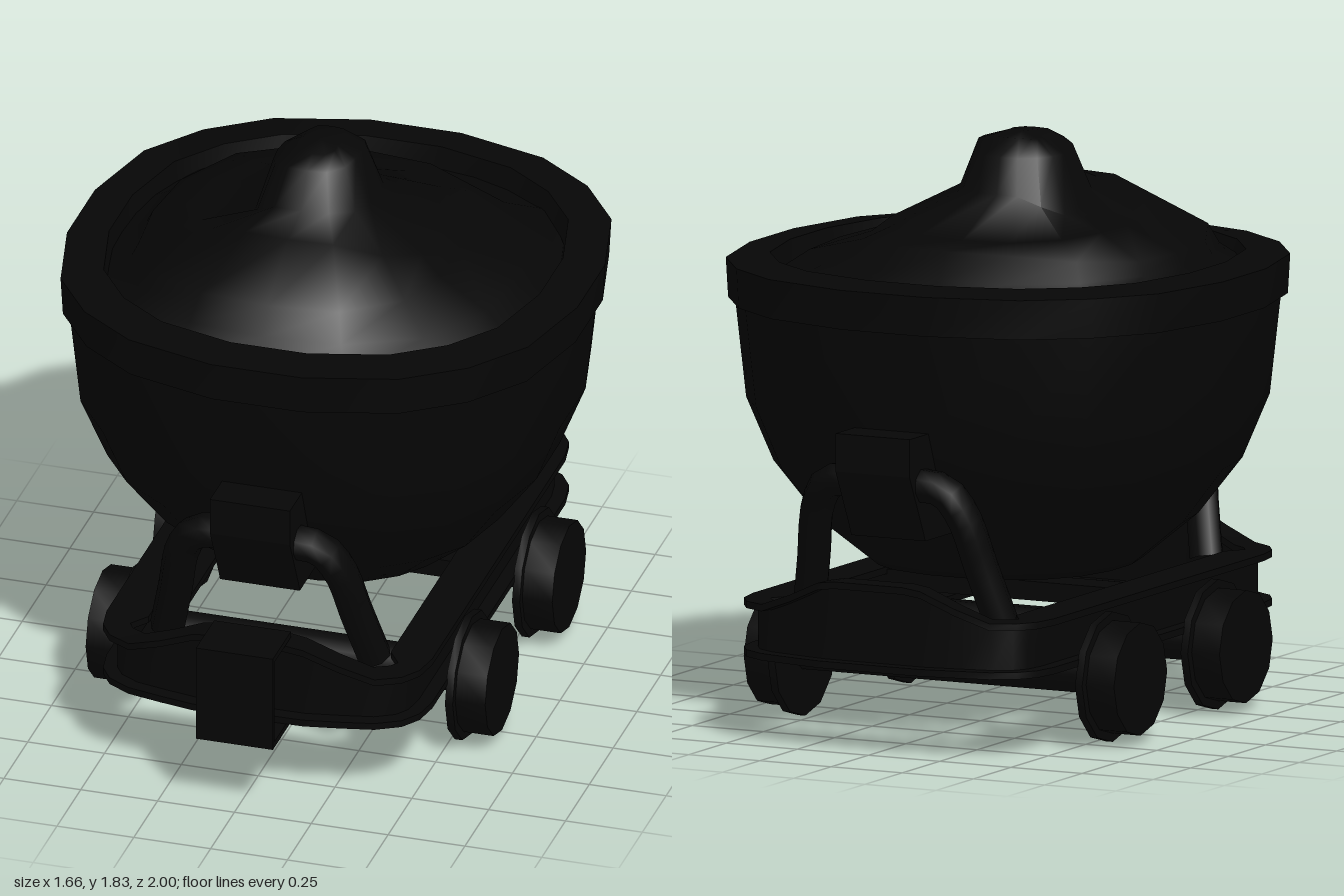
import * as THREE from 'three';
import { toCreasedNormals } from 'three/addons/utils/BufferGeometryUtils.js';

const MID = -0.068; // z of the cart's centre, ends mirror about it
const paint = new THREE.MeshStandardMaterial({ color: 0x060606 });

function part(parent, name, geometry, x = 0, y = 0, z = 0) {
  const mesh = new THREE.Mesh(geometry, paint);
  mesh.name = name;
  mesh.position.set(x, y, z);
  parent.add(mesh);
}

// Skin between closed rings of [x, y, z] points
function loft(rings, crease) {
  const n = rings[0].length, index = [];
  for (let i = 0; i < rings.length - 1; i++) {
    for (let j = 0; j < n; j++) {
      const k = (j + 1) % n;
      const a = i * n + j, b = i * n + k, c = b + n, d = a + n;
      index.push(a, d, b, b, d, c);
    }
  }
  const g = new THREE.BufferGeometry();
  g.setAttribute('position', new THREE.Float32BufferAttribute(rings.flat(2), 3));
  g.setIndex(index);
  g.computeVertexNormals();
  return toCreasedNormals(g, crease);
}

// Repeat a quarter outline around all four quadrants
function fourQuarters(quarter) {
  const back = [...quarter].reverse();
  return [
    ...quarter,
    ...back.map(([x, z]) => [-x, z]),
    ...quarter.map(([x, z]) => [-x, -z]),
    ...back.map(([x, z]) => [x, -z]),
  ];
}

function tubGeometry() {
  // Rounded-square plan, unit width
  const plan = fourQuarters([[10, 0.843], [30, 0.878], [45, 0.884], [60, 0.878], [80, 0.853]]
    .map(([deg, r]) => {
      const a = THREE.MathUtils.degToRad(deg);
      return [Math.cos(a) * r / 0.83, Math.sin(a) * r / 0.83];
    }));
  const profile = [[0, 0.485], [0.395, 0.485], [0.56, 0.625], [0.69, 0.8], [0.77, 1.0],
    [0.803, 1.315], [0.823, 1.315], [0.83, 1.44], [0.7, 1.455], [0.67, 1.28]];
  return loft(profile.map(([r, y]) => plan.map(([x, z]) => [x * r, y, z * r])), 0.9);
}

function heapGeometry() {
  // Slopes towards each side as [distance from peak, height]
  const left = [[0.74, 1.38], [0.64, 1.45], [0.45, 1.51], [0.39, 1.56], [0.185, 1.665], [0.13, 1.81], [0.06, 1.83]];
  const right = [[0.68, 1.38], [0.57, 1.45], [0.55, 1.49], [0.37, 1.56], [0.2, 1.59], [0.145, 1.77], [0.07, 1.815]];
  const front = [[0.71, 1.38], [0.62, 1.45], [0.57, 1.535], [0.36, 1.66], [0.22, 1.69], [0.16, 1.8], [0.1, 1.83]];
  const rear = [[0.74, 1.38], [0.55, 1.44], [0.51, 1.525], [0.4, 1.545], [0.17, 1.655], [0.15, 1.77], [0.1, 1.825]];
  const ring = (pick) => Array.from({ length: 16 }, (_, j) => {
    const a = j / 16 * Math.PI * 2, c = Math.cos(a), s = Math.sin(a);
    const w = c ** 4 / (c ** 4 + s ** 4);
    const [rx, yx] = pick(c > 0 ? left : right);
    const [rz, yz] = pick(s > 0 ? front : rear);
    const r = (rx * w + rz * (1 - w)) * (1 + 0.08 * Math.sin(2 * a) ** 2);
    return [-0.04 + c * r, yx * w + yz * (1 - w), -0.05 + s * r];
  });
  const rings = left.map((_, i) => ring((p) => p[i]));
  rings.push(ring(() => [0, 1.832]));
  return loft(rings, 1.2);
}

// Frame outline with bowed ends
const outline = fourQuarters([[0.53, 0.3], [0.53, 0.7], [0.515, 0.785], [0.475, 0.845],
  [0.4, 0.888], [0.29, 0.912], [0.18, 0.932], [0.12, 0.933]]);
const normals = outline.map((_, i) => {
  const n = outline.length, p = outline[(i + n - 1) % n], q = outline[(i + 1) % n];
  return new THREE.Vector2(q[1] - p[1], p[0] - q[0]).normalize();
});
// Top flange climbs towards the middle of each end
const rise = (x, z) => Math.abs(z) < 0.8 ? 0
  : 0.1 * (1 - THREE.MathUtils.smoothstep(Math.abs(x), 0.13, 0.42));

// Band following the outline; corners are [inset, height, lifted by the rise]
function bandGeometry(corners) {
  return loft([...corners, corners[0]].map(([inset, y, lifted]) => outline.map(([x, z], i) => {
    const wide = inset > 0.07 && Math.abs(z) < 0.75 ? 1.6 : 1;
    return [x - normals[i].x * inset * wide, y + (lifted ? rise(x, z) : 0),
      z - normals[i].y * inset * wide];
  })), 0.6);
}

function wheel(x, z) {
  const g = new THREE.Group(), side = Math.sign(x);
  g.name = 'wheel';
  g.position.set(x, 0.205, z);
  const disc = (name, r, width, dx) => {
    const geo = toCreasedNormals(new THREE.CylinderGeometry(r, r, width, 12), 0.6);
    part(g, name, geo.rotateZ(Math.PI / 2), dx * side);
  };
  disc('wheelFlange', 0.205, 0.025, 0);
  disc('wheelTread', 0.178, 0.1, 0.06);
  return g;
}

// Saddle block and bent legs carrying one end of the tub
function support() {
  const g = new THREE.Group();
  g.name = 'tubSupport';
  const side = new THREE.Shape([[0.905, 1.0], [0.905, 0.88], [0.815, 0.7], [0.8, 0.665],
    [0.54, 0.665], [0.6, 1.0]].map(([z, y]) => new THREE.Vector2(-z, y)));
  const block = new THREE.ExtrudeGeometry(side, { depth: 0.26, bevelEnabled: false });
  part(g, 'saddleBlock', block.translate(0, 0, -0.13).rotateY(Math.PI / 2));
  for (const s of [-1, 1]) {
    const path = new THREE.CatmullRomCurve3([[0.337, 0.41, 0.685], [0.295, 0.58, 0.735],
      [0.255, 0.75, 0.785], [0.2, 0.83, 0.81], [0.08, 0.845, 0.815]]
      .map(([x, y, z]) => new THREE.Vector3(x * s, y, z)));
    part(g, 'leg', new THREE.TubeGeometry(path, 12, 0.055, 8));
  }
  return g;
}

export function createModel() {
  const model = new THREE.Group();
  model.name = 'mineCart';

  part(model, 'tub', tubGeometry(), 0, 0, MID);
  part(model, 'oreHeap', heapGeometry());

  // I-beam frame
  const frame = new THREE.Group();
  frame.name = 'frame';
  frame.position.z = MID;
  model.add(frame);
  part(frame, 'topFlange', bandGeometry([[0, 0.415, 1], [0, 0.437, 1], [0.085, 0.437, 1], [0.085, 0.415, 1]]));
  part(frame, 'web', bandGeometry([[0.045, 0.27, 0], [0.045, 0.43, 1], [0.06, 0.43, 1], [0.06, 0.27, 0]]));
  part(frame, 'bottomFlange', bandGeometry([[0, 0.262, 0], [0, 0.284, 0], [0.085, 0.284, 0], [0.085, 0.262, 0]]));
  part(frame, 'crossMember', new THREE.BoxGeometry(0.94, 0.06, 0.12), 0, 0.4, 0);

  // Tub supports at both ends
  for (const turn of [0, Math.PI]) {
    const s = support();
    s.position.z = MID;
    s.rotation.y = turn;
    model.add(s);
  }

  // Axles and wheels
  for (const z of [0.286, -0.419]) {
    const axle = new THREE.CylinderGeometry(0.065, 0.065, 1.08, 10).rotateZ(Math.PI / 2);
    part(model, 'axle', axle, 0, 0.212, z);
    for (const x of [-0.54, 0.54]) model.add(wheel(x, z));
  }

  // Open-sided coupler bracket at the front
  const coupler = new THREE.Group();
  coupler.name = 'coupler';
  model.add(coupler);
  part(coupler, 'couplerFace', new THREE.BoxGeometry(0.25, 0.32, 0.02), 0, 0.4, 0.99);
  for (const y of [0.25, 0.55]) {
    part(coupler, 'couplerPlate', new THREE.BoxGeometry(0.25, 0.02, 0.18), 0, y, 0.9);
  }
  return model;
}
